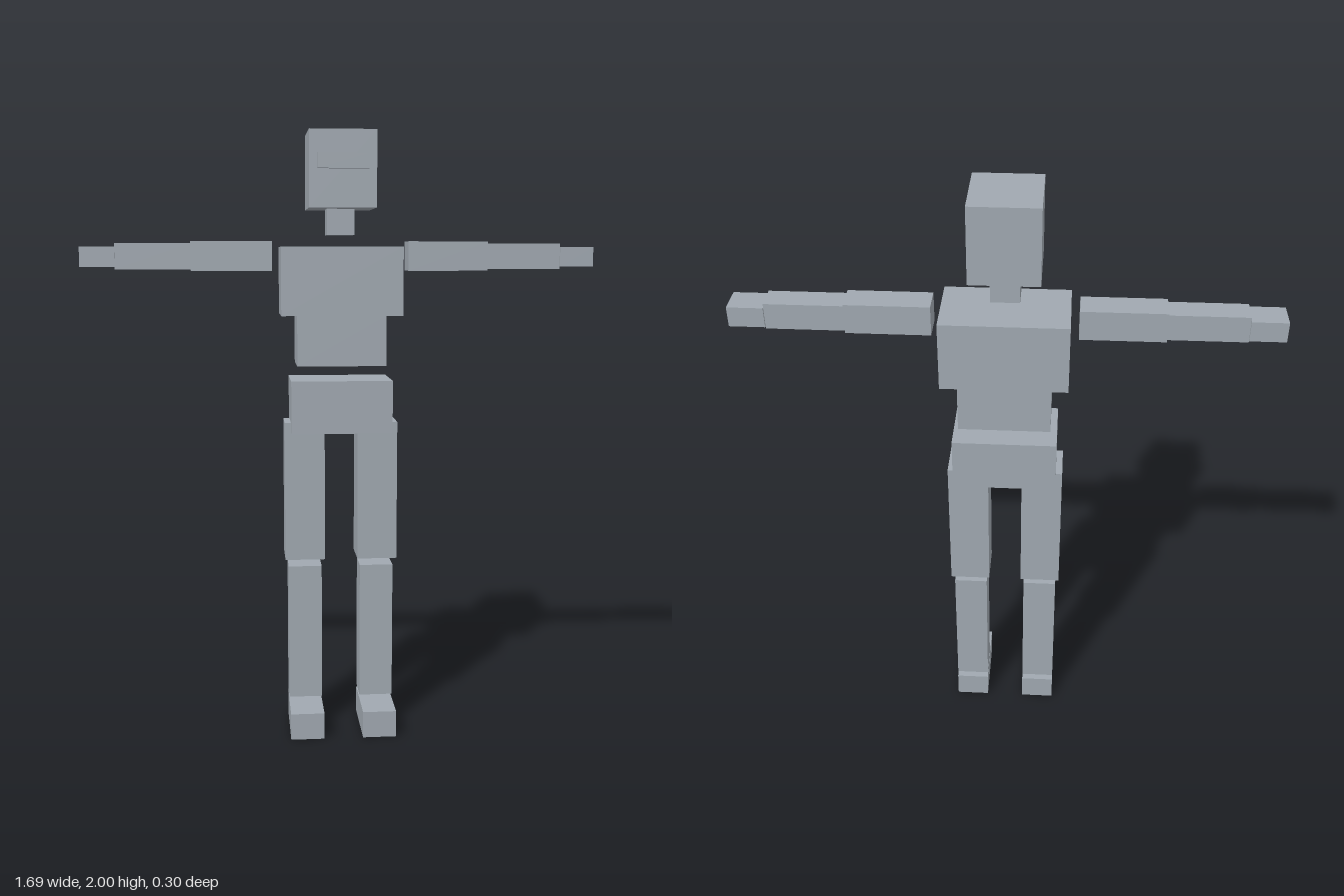
import * as THREE from 'three';

export function createModel() {
  const model = new THREE.Group();
  model.name = 'blockFigure';

  const grey = new THREE.MeshStandardMaterial({ color: 0xa0a8b0 });
  grey.name = 'grey';

  // Box given by its limits on each axis
  function block(name, [x0, x1], [y0, y1], [z0, z1]) {
    const mesh = new THREE.Mesh(new THREE.BoxGeometry(x1 - x0, y1 - y0, z1 - z0), grey);
    mesh.name = name;
    mesh.position.set((x0 + x1) / 2, (y0 + y1) / 2, (z0 + z1) / 2);
    model.add(mesh);
  }

  // Head and torso: name, half width, y limits, z limits
  const centre = [
    ['head', 0.108, [1.757, 2], [-0.125, 0.116]],
    ['visor', 0.083, [1.878, 1.926], [0.116, 0.136]],
    ['neck', 0.045, [1.673, 1.757], [-0.07, 0.016]],
    ['chest', 0.198, [1.413, 1.635], [-0.149, 0.093]],
    ['abdomen', 0.146, [1.248, 1.413], [-0.124, 0.073]],
    ['pelvis', 0.167, [1.026, 1.2], [-0.134, 0.083]],
  ];
  for (const [name, half, y, z] of centre) block(name, [-half, half], y, z);

  // Limbs of the left side, mirrored to the right
  const limbs = [
    ['UpperArm', [0.224, 0.488], [1.557, 1.653], [-0.076, 0.019]],
    ['Forearm', [0.488, 0.732], [1.562, 1.646], [-0.071, 0.014]],
    ['Hand', [0.732, 0.844], [1.57, 1.635], [-0.078, 0.019]],
    ['Thigh', [0.055, 0.188], [0.592, 1.058], [-0.091, 0.041]],
    ['Shin', [0.065, 0.177], [0.103, 0.565], [-0.081, 0.025]],
    ['Foot', [0.065, 0.177], [0, 0.089], [-0.091, 0.15]],
  ];
  for (const [name, x, y, z] of limbs) {
    block('left' + name, x, y, z);
    block('right' + name, [-x[1], -x[0]], y, z);
  }

  return model;
}
